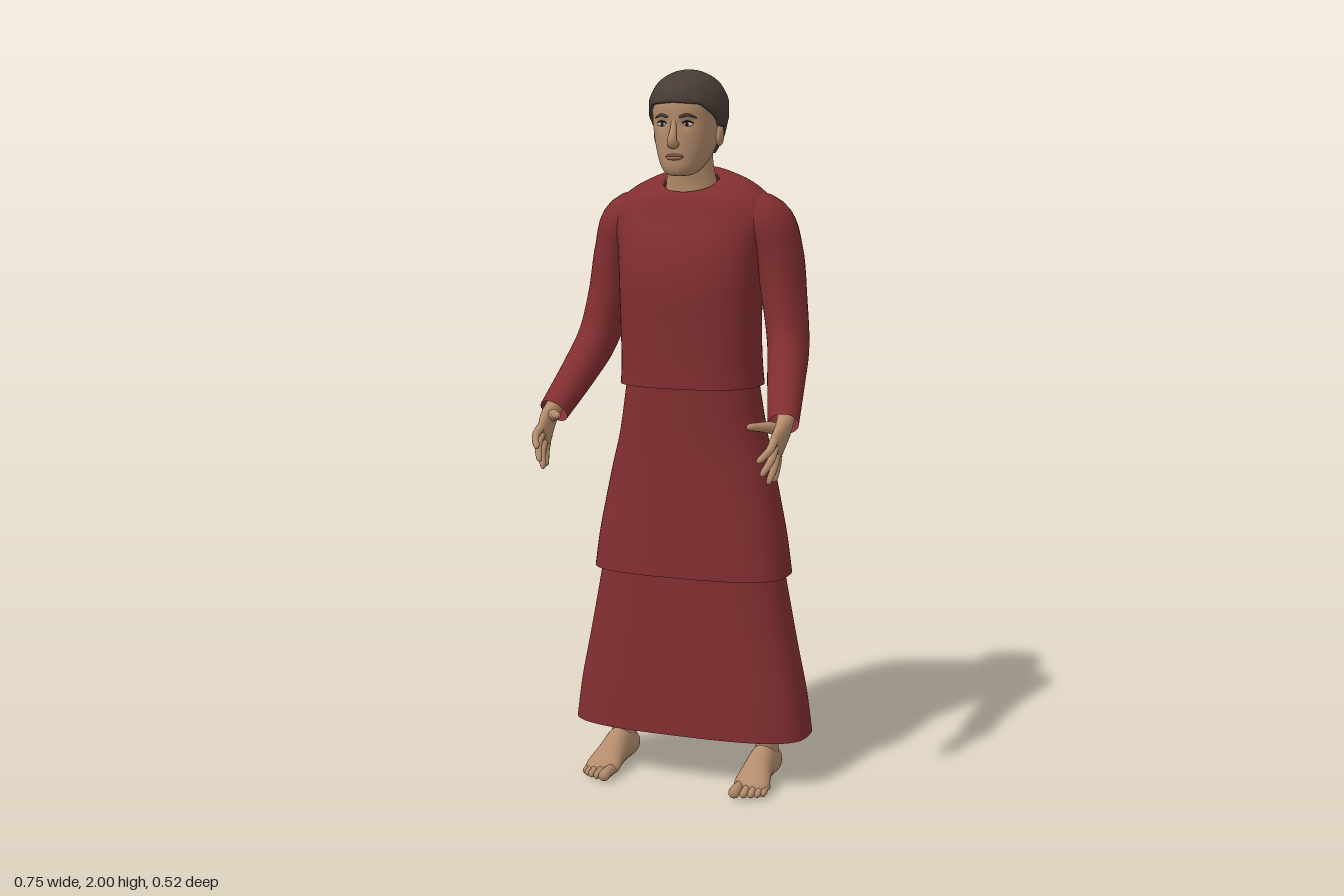
import * as THREE from 'three';

const mat = (name, color, side = THREE.FrontSide) => {
  const m = new THREE.MeshStandardMaterial({ color, side });
  m.name = name;
  return m;
};

// Smooth interpolation through rows of numbers, v from 0 to 1
function sample(rows, v) {
  const f = Math.min(Math.max(v, 0), 1) * (rows.length - 1);
  const i = Math.min(Math.floor(f), rows.length - 2), t = f - i;
  const row = k => rows[Math.min(Math.max(k, 0), rows.length - 1)];
  const [a, b, c, d] = [row(i - 1), row(i), row(i + 1), row(i + 2)];
  return b.map((q, k) => q + 0.5 * t * (c[k] - a[k] +
    t * (2 * a[k] - 5 * q + 4 * c[k] - d[k] + t * (3 * (q - c[k]) + d[k] - a[k]))));
}

// Closed surface: point(angle, v) around nu sides and along nv steps
function surface(point, nu, nv) {
  const pos = [], idx = [];
  for (let j = 0; j <= nv; j++)
    for (let i = 0; i < nu; i++) pos.push(...point((i / nu) * Math.PI * 2, j / nv));
  for (let j = 0; j < nv; j++)
    for (let i = 0; i < nu; i++) {
      const a = j * nu + i, b = j * nu + ((i + 1) % nu);
      idx.push(a, b, b + nu, a, b + nu, a + nu);
    }
  const g = new THREE.BufferGeometry();
  g.setAttribute('position', new THREE.Float32BufferAttribute(pos, 3));
  g.setIndex(idx);
  g.computeVertexNormals();
  return g;
}

// Upright form from rows [y, halfWidth, frontZ, backZ, squareness, frontDrop], bottom to top
function body(rows, nu = 64, nv = 40, shape = p => p) {
  return surface((a, v) => {
    const [y, rx, zf, zb, n, drop] = sample(rows, v);
    const pw = q => Math.sign(q) * Math.abs(q) ** (2 / n);
    const c = pw(Math.cos(a));
    return shape([rx * pw(Math.sin(a)), y - drop * c, (zf + zb) / 2 + c * (zf - zb) / 2]);
  }, nu, nv);
}

// Limb along rows [x, y, z, radius on axis, radius across]; round: 0 open, 1 end, 2 both ends
function limb(rows, axis, round = 1, nu = 16, nv = 18) {
  const at = v => new THREE.Vector3(...sample(rows, v));
  const dome = (v, a) => (v < a ? Math.sqrt(Math.max(0, 1 - ((a - v) / a) ** 2)) : 1);
  return surface((ang, t) => {
    const v = (1 - Math.cos(t * Math.PI)) / 2;
    const r = sample(rows, v);
    const T = at(v + 0.01).sub(at(v - 0.01)).normalize();
    const N = new THREE.Vector3(...axis);
    N.addScaledVector(T, -N.dot(T)).normalize();
    const B = T.clone().cross(N);
    const k = (round > 0 ? dome(1 - v, 0.2) : 1) * (round > 1 ? dome(v, 0.15) : 1);
    return at(v).addScaledVector(N, Math.cos(ang) * r[3] * k)
      .addScaledVector(B, Math.sin(ang) * r[4] * k).toArray();
  }, nu, nv);
}

export function createModel() {
  const model = new THREE.Group();
  model.name = 'robedFigure';
  const skin = mat('skin', 0xb48c6c);
  const hair = mat('hair', 0x483d36);
  const cloth = mat('redCloth', 0x822e30, THREE.DoubleSide);
  const white = mat('eyeWhite', 0xd8d0c8);
  const iris = mat('iris', 0x2a1c14);
  const lip = mat('lip', 0x95654f);
  const add = (name, geo, material, parent = model) => {
    const m = new THREE.Mesh(geo, material);
    m.name = name;
    parent.add(m);
    return m;
  };
  const ball = (name, material, p, s, parent) => {
    const m = add(name, new THREE.SphereGeometry(1, 20, 14), material, parent);
    m.position.set(...p);
    m.scale.set(...s);
  };

  // Skirt in two tiers
  add('lowerSkirt', body([
    [0.14, 0.35, 0.025, -0.253, 3, 0], [0.26, 0.333, 0.024, -0.25, 3, 0],
    [0.39, 0.307, 0.022, -0.246, 2.9, 0], [0.5, 0.286, 0.021, -0.244, 2.8, 0],
    [0.64, 0.26, 0.02, -0.24, 2.7, 0]]), cloth);
  add('upperSkirt', body([
    [0.6, 0.286, 0.032, -0.252, 2.9, 0], [0.7, 0.273, 0.028, -0.248, 2.8, 0],
    [0.8, 0.254, 0.024, -0.246, 2.7, 0], [0.9, 0.233, 0.022, -0.246, 2.6, 0],
    [1.0, 0.21, 0.024, -0.25, 2.5, 0], [1.17, 0.182, 0.03, -0.24, 2.5, 0]]), cloth);

  // Shirt with a sloping neckline
  add('shirt', body([
    [1.135, 0.201, 0.045, -0.255, 2.6, 0], [1.2, 0.197, 0.045, -0.245, 2.6, 0],
    [1.3, 0.198, 0.05, -0.233, 2.5, 0], [1.42, 0.201, 0.055, -0.24, 2.5, 0],
    [1.52, 0.212, 0.038, -0.255, 2.5, 0], [1.6, 0.232, 0.008, -0.256, 2.4, 0],
    [1.65, 0.213, -0.005, -0.248, 2.3, 0.01], [1.683, 0.172, -0.012, -0.222, 2.2, 0.025],
    [1.7, 0.12, -0.018, -0.19, 2.1, 0.035], [1.704, 0.083, -0.025, -0.166, 2, 0.034],
    [1.69, 0.078, -0.03, -0.16, 2, 0.034]], 64, 56), cloth);

  // Neck and head
  add('neck', limb([[0, 1.62, -0.1, 0.065, 0.082], [0, 1.69, -0.094, 0.06, 0.072],
    [0, 1.75, -0.085, 0.06, 0.064], [0, 1.82, -0.08, 0.06, 0.062]], [0, 0, 1], 0, 28), skin);
  const sockets = ([x, y, z]) => [x, y, z > 0
    ? z - 0.007 * Math.exp(-((Math.abs(x) - 0.036) ** 2) / 0.0003 - (y - 1.856) ** 2 / 0.0002) : z];
  add('head', body([
    [1.714, 0.001, 0.005, 0.003, 2, 0], [1.717, 0.032, 0.027, -0.04, 2.2, 0],
    [1.735, 0.053, 0.037, -0.08, 2.2, 0], [1.765, 0.069, 0.04, -0.12, 2.2, 0],
    [1.8, 0.08, 0.042, -0.15, 2.2, 0], [1.84, 0.088, 0.043, -0.168, 2.2, 0],
    [1.875, 0.091, 0.046, -0.178, 2.2, 0], [1.91, 0.093, 0.044, -0.182, 2.2, 0],
    [1.95, 0.083, 0.028, -0.172, 2.2, 0], [1.978, 0.05, -0.012, -0.13, 2.1, 0],
    [1.985, 0.001, -0.07, -0.072, 2, 0]], 72, 72, sockets), skin);

  // Face
  add('nose', limb([[0, 1.79, 0.036, 0.004, 0.008], [0, 1.798, 0.047, 0.011, 0.017],
    [0, 1.812, 0.055, 0.011, 0.013], [0, 1.84, 0.044, 0.009, 0.009],
    [0, 1.872, 0.038, 0.006, 0.008]], [0, 0, 1], 2), skin);
  [['upperLip', 1.77, 0.0035], ['lowerLip', 1.762, 0.0045]].forEach(([name, y, r]) =>
    add(name, limb([[-0.026, 1.766, 0.034, 0.002, 0.002], [-0.012, y, 0.041, r, 0.005],
      [0.012, y, 0.041, r, 0.005], [0.026, 1.766, 0.034, 0.002, 0.002]], [0, 1, 0], 2), lip));

  // Cropped hair with a fringe, sideburns and a lower nape
  const edge = [[0, 1.91], [40, 1.905], [70, 1.87], [82, 1.845], [95, 1.85], [110, 1.82], [130, 1.775], [180, 1.77]];
  const hairline = a => {
    const d = Math.abs(THREE.MathUtils.radToDeg(a > Math.PI ? a - 2 * Math.PI : a));
    const i = Math.max(1, edge.findIndex(e => e[0] >= d - 1e-6));
    const [p, q] = [edge[i - 1], edge[i]];
    return p[1] + (q[1] - p[1]) * (d - p[0]) / (q[0] - p[0]);
  };
  add('hair', surface((a, v) => {
    const lo = hairline(a), t = Math.max(0, (v - 0.05) / 0.95);
    const y = lo + (2 - lo) * Math.sin(t * Math.PI / 2);
    let k = y > 1.9 ? Math.sqrt(Math.max(0, 1 - ((y - 1.9) / 0.1) ** 2)) : 1 - 0.38 * ((1.9 - y) / 0.14) ** 2;
    k *= 1 + 0.012 * Math.sin(9 * a + 60 * y) * Math.sin(5 * a - 70 * y);
    if (v < 0.01) k *= 0.86;
    return [0.106 * k * Math.sin(a), y, -0.075 + 0.131 * k * Math.cos(a)];
  }, 72, 20), hair);

  for (const s of [1, -1]) {
    const side = new THREE.Group();
    side.name = s > 0 ? 'leftSide' : 'rightSide';
    model.add(side);
    const part = (name, rows, axis, material, round, nu, nv) =>
      add(name, limb(rows.map(([x, ...r]) => [x * s, ...r]), axis, round, nu, nv), material, side);

    // Eye, brow and ear
    ball('eye', white, [0.037 * s, 1.853, 0.031], [0.015, 0.0065, 0.007], side);
    ball('iris', iris, [0.036 * s, 1.853, 0.0345], [0.006, 0.006, 0.005], side);
    part('upperEyelid', [[0.021, 1.855, 0.036, 0.002, 0.002], [0.037, 1.861, 0.037, 0.002, 0.003],
      [0.053, 1.855, 0.03, 0.002, 0.002]], [0, 1, 0], iris, 2, 8);
    part('brow', [[0.016, 1.871, 0.044, 0.004, 0.003], [0.038, 1.877, 0.039, 0.004, 0.003],
      [0.06, 1.869, 0.025, 0.002, 0.002]], [0, 1, 0], hair, 2, 10);
    ball('ear', skin, [0.09 * s, 1.825, -0.073], [0.011, 0.031, 0.019], side);

    // Sleeve
    part('sleeve', [[0.1, 1.6, -0.13, 0.08, 0.07], [0.195, 1.583, -0.138, 0.098, 0.08],
      [0.238, 1.5, -0.145, 0.094, 0.066], [0.26, 1.38, -0.133, 0.083, 0.06],
      [0.283, 1.26, -0.098, 0.072, 0.056], [0.305, 1.17, -0.015, 0.056, 0.051],
      [0.335, 1.065, 0.102, 0.041, 0.042]], [0, 0, 1], cloth, 0, 32, 44);

    // Hand with spread fingers
    part('palm', [[0.335, 1.1, 0.06, 0.026, 0.024], [0.339, 1.07, 0.1, 0.027, 0.023],
      [0.34, 1.045, 0.13, 0.036, 0.02], [0.335, 1.01, 0.165, 0.042, 0.015],
      [0.333, 1.0, 0.177, 0.036, 0.011]], [0, 0.75, 0.6], skin, 1, 20);
    [['indexFinger', 1.033, 0.183, 0.315, 0.985, 0.257], ['middleFinger', 1.02, 0.172, 0.318, 0.945, 0.234],
      ['ringFinger', 1.0, 0.158, 0.325, 0.918, 0.197], ['littleFinger', 0.987, 0.147, 0.331, 0.92, 0.165],
    ].forEach(([name, y, z, tx, ty, tz]) => part(name, [[0.336, y, z, 0.012, 0.012],
      [0.336, (y + ty) / 2 + 0.003, (z + tz) / 2, 0.0105, 0.0105], [tx, ty, tz, 0.0085, 0.0085]],
      [1, 0, 0], skin, 1, 10));
    part('thumb', [[0.337, 1.05, 0.115, 0.016, 0.018], [0.313, 1.062, 0.15, 0.016, 0.015],
      [0.292, 1.067, 0.183, 0.012, 0.012], [0.272, 1.07, 0.213, 0.01, 0.01]], [0, 1, 0], skin, 1, 12);

    // Leg
    part('leg', [[0.222, 0.045, -0.125, 0.043, 0.034], [0.222, 0.14, -0.118, 0.045, 0.033],
      [0.215, 0.26, -0.125, 0.05, 0.042], [0.2, 0.4, -0.13, 0.06, 0.055],
      [0.17, 0.58, -0.115, 0.06, 0.058], [0.13, 0.8, -0.11, 0.08, 0.075],
      [0.1, 1.0, -0.11, 0.09, 0.085]], [0, 0, 1], skin, 0, 20, 28);

    // Bare foot with toes
    part('foot', [[0.222, 0.036, -0.187, 0.03, 0.03], [0.222, 0.043, -0.15, 0.043, 0.035],
      [0.222, 0.055, -0.09, 0.055, 0.037], [0.223, 0.042, -0.03, 0.042, 0.043],
      [0.226, 0.027, 0.02, 0.027, 0.051], [0.225, 0.017, 0.06, 0.016, 0.049]], [0, 1, 0], skin, 2, 24, 28);
    [[0.196, 0.1, 0.016], [0.221, 0.09, 0.011], [0.24, 0.083, 0.0105], [0.256, 0.073, 0.01], [0.268, 0.06, 0.01]]
      .forEach(([x, z, r]) => part('toe', [[x, 0.02, 0.01, r, r], [x, 0.021, z - 0.035, r, r],
        [x + 0.001, r, z, r, r]], [0, 1, 0], skin, 1, 10));
  }
  return model;
}
